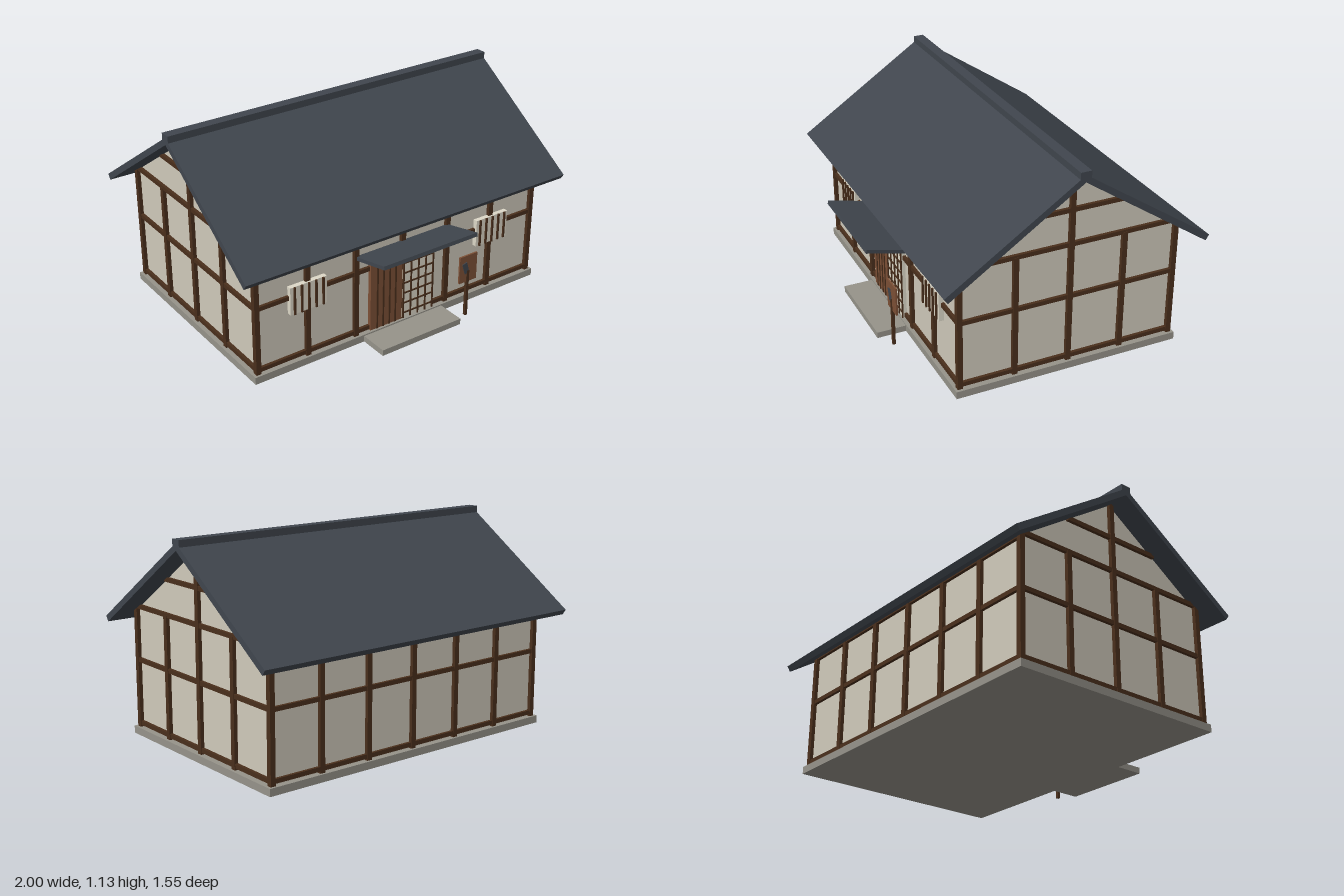
import * as THREE from 'three';

const paint = (name, color) => {
  const m = new THREE.MeshStandardMaterial({ color });
  m.name = name;
  return m;
};

export function createModel() {
  const house = new THREE.Group();
  house.name = 'house';
  const plaster = paint('plaster', 0xd0cabb);
  const paper = paint('paper', 0xddd8c8);
  const timber = paint('darkTimber', 0x4a2f1c);
  const plank = paint('doorWood', 0x7d5036);
  const tile = paint('roofTile', 0x40464e);
  const stone = paint('stone', 0x96938a);

  const ZC = -0.057; // centre line of the house under the ridge
  const group = (name) => {
    const g = new THREE.Group();
    g.name = name;
    house.add(g);
    return g;
  };
  // Box given by its limits on each axis
  const box = (parent, name, mat, [x0, x1], [y0, y1], [z0, z1]) => {
    const mesh = new THREE.Mesh(new THREE.BoxGeometry(x1 - x0, y1 - y0, z1 - z0), mat);
    mesh.position.set((x0 + x1) / 2, (y0 + y1) / 2, (z0 + z1) / 2);
    mesh.name = name;
    parent.add(mesh);
    return mesh;
  };
  const around = (c, w) => [c - w / 2, c + w / 2];
  // Side profile of [distance from the ridge line, height], extruded along x
  const prism = (parent, name, mat, points, length) => {
    const shape = new THREE.Shape(points.map(([x, y]) => new THREE.Vector2(x, y)));
    const geo = new THREE.ExtrudeGeometry(shape, { depth: length, bevelEnabled: false });
    geo.translate(0, 0, -length / 2).rotateY(-Math.PI / 2).translate(0, 0, ZC);
    const mesh = new THREE.Mesh(geo, mat);
    mesh.name = name;
    parent.add(mesh);
    return mesh;
  };

  // Stone base and entrance step
  box(house, 'foundation', stone, [-0.91, 0.91], [0, 0.04], around(ZC, 1.234));
  box(house, 'entranceStep', stone, [-0.255, 0.255], [0, 0.033], [0.55, 0.72]);

  // Plaster body with gables
  prism(house, 'walls', plaster,
    [[-0.585, 0.04], [0.585, 0.04], [0.585, 0.694], [0, 1.088], [-0.585, 0.694]], 1.75);

  // Timber frame
  const frame = group('timberFrame');
  const W = 0.028;
  for (const s of [-1, 1]) {
    const z = ZC + s * 0.59;
    for (let i = -3; i <= 3; i++) {
      box(frame, 'wallPost', timber, around(i * 0.2937, W), [0.04, 0.69], around(z, W));
    }
    for (const y of [0.062, 0.41, 0.68]) {
      box(frame, 'wallRail', timber, [-0.88, 0.88], around(y, 0.023), around(z, 0.022));
    }
    const x = s * 0.881;
    for (const i of [-1, 0, 1]) {
      box(frame, 'gablePost', timber, around(x, W), [0.04, i ? 0.7 : 1.09], around(ZC + i * 0.296, W));
    }
    for (const [y, d] of [[0.062, 1.18], [0.41, 1.18], [0.7, 1.17], [0.886, 0.59]]) {
      box(frame, 'gableRail', timber, around(x, 0.022), around(y, 0.023), around(ZC, d));
    }
  }

  // Main roof and ridge
  prism(house, 'roof', tile,
    [[0, 1.118], [-0.714, 0.641], [-0.695, 0.613], [0, 1.08], [0.695, 0.613], [0.714, 0.641]], 2);
  box(house, 'ridge', tile, [-1, 1], [1.08, 1.135], around(ZC, 0.058));

  // Tilted canopy above the door
  const canopy = box(house, 'canopy', tile, [-0.295, 0.295], around(0.523, 0.02), [0.533, 0.775]);
  canopy.rotation.x = -0.23;

  // Sliding wooden door
  const door = group('woodenDoor');
  box(door, 'doorPanel', plank, [-0.21, -0.008], [0.045, 0.467], [0.53, 0.552]);
  for (const x of [-0.168, -0.13, -0.09, -0.052]) {
    box(door, 'doorSlat', timber, around(x, 0.009), [0.045, 0.467], [0.55, 0.556]);
  }

  // Paper door with lattice
  const screen = group('paperDoor');
  box(screen, 'paperPanel', paper, [-0.003, 0.198], [0.045, 0.467], [0.53, 0.55]);
  for (let i = 0; i < 5; i++) {
    box(screen, 'latticeUpright', timber, around(0.001 + i * 0.0483, 0.008), [0.045, 0.467], [0.549, 0.556]);
  }
  for (let i = 0; i < 7; i++) {
    box(screen, 'latticeBar', timber, [-0.003, 0.198], around(0.076 + i * 0.06, 0.008), [0.549, 0.555]);
  }

  // Barred windows
  for (const s of [-1, 1]) {
    const win = group(s > 0 ? 'leftWindow' : 'rightWindow');
    const x = s * 0.59;
    box(win, 'windowPaper', paper, around(x, 0.214), [0.319, 0.472], [0.53, 0.556]);
    for (let i = -2; i <= 2; i++) {
      box(win, 'windowBar', timber, around(x + i * 0.042, 0.01), [0.319, 0.472], [0.555, 0.565]);
    }
  }

  // Signboard on a post with a plain ornament
  const sign = group('signboard');
  box(sign, 'signPost', timber, around(0.338, 0.016), [0, 0.275], around(0.661, 0.016));
  box(sign, 'signBoard', plank, [0.283, 0.399], [0.207, 0.364], around(0.66, 0.01));
  const ornament = box(sign, 'signOrnament', tile, around(0.322, 0.03), around(0.292, 0.065), [0.664, 0.669]);
  ornament.rotation.z = 0.3;

  return house;
}
